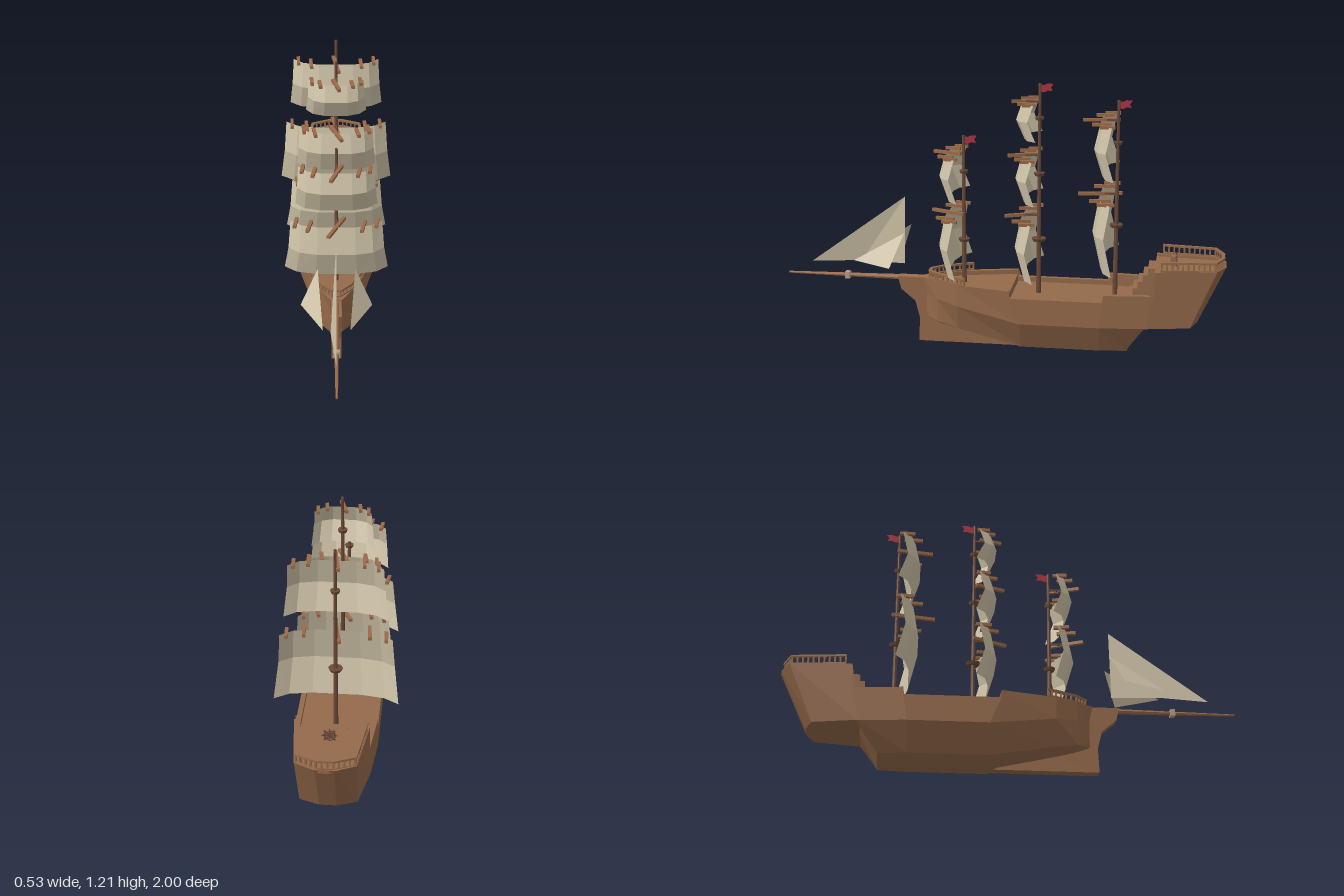
import * as THREE from 'three';

const mat = (name, color, double = false) => {
  const m = new THREE.MeshStandardMaterial({ color, flatShading: true });
  m.name = name;
  if (double) m.side = THREE.DoubleSide;
  return m;
};

export function createModel() {
  const ship = new THREE.Group();
  ship.name = 'sailingShip';
  const wood = mat('hullWood', 0x94694a, true);
  const darkWood = mat('mastWood', 0x6b4a38);
  const yardWood = mat('yardWood', 0x9b6a48);
  const canvas = mat('canvas', 0xcfc3a8, true);
  const red = mat('flagRed', 0xa8323e, true);
  const pale = mat('paleBand', 0xb59c88);

  const add = (name, geo, material, parent = ship) => {
    const m = new THREE.Mesh(geo, material);
    m.name = name;
    parent.add(m);
    return m;
  };
  const group = (name) => {
    const g = new THREE.Group();
    g.name = name;
    ship.add(g);
    return g;
  };
  // rectangular beam between two points
  const bar = (name, a, b, w, h, material, parent) => {
    const A = new THREE.Vector3(...a), B = new THREE.Vector3(...b);
    const m = add(name, new THREE.BoxGeometry(w, h, A.distanceTo(B) + w * 0.5), material, parent);
    m.position.copy(A).add(B).multiplyScalar(0.5);
    m.lookAt(B);
    return m;
  };
  // quad surface through rows of points
  const loft = (rows, closed) => {
    const n = rows[0].length, idx = [];
    for (let i = 0; i < rows.length - 1; i++) {
      for (let j = 0; j < (closed ? n : n - 1); j++) {
        const k = (j + 1) % n;
        const a = i * n + j, b = i * n + k, c = (i + 1) * n + k, d = (i + 1) * n + j;
        idx.push(a, d, b, b, d, c);
      }
    }
    const g = new THREE.BufferGeometry();
    g.setAttribute('position', new THREE.Float32BufferAttribute(rows.flat(2), 3));
    g.setIndex(idx);
    const flat = g.toNonIndexed();
    flat.computeVertexNormals();
    return flat;
  };

  // Hull: rim z, width, rim y, deck y | bilge z, width, y | chine z, width, y | keel width, y
  const stations = [
    [0.36, 0.025, 0.305, 0.285, 0.345, 0.025, 0.23, 0.345, 0.025, 0.12, 0.02, 0.11],
    [0.29, 0.068, 0.305, 0.285, 0.29, 0.068, 0.22, 0.29, 0.062, 0.11, 0.02, 0.09],
    [0.19, 0.12, 0.305, 0.285, 0.19, 0.12, 0.205, 0.19, 0.085, 0.09, 0.025, 0.065],
    [-0.05, 0.178, 0.305, 0.285, -0.1, 0.178, 0.155, -0.1, 0.12, 0.03, 0.025, 0],
    [-0.05, 0.178, 0.272, 0.25, -0.1, 0.178, 0.155, -0.1, 0.12, 0.03, 0.025, 0],
    [-0.47, 0.178, 0.272, 0.25, -0.45, 0.178, 0.155, -0.45, 0.12, 0.03, 0.025, 0],
    [-0.47, 0.178, 0.305, 0.25, -0.45, 0.178, 0.155, -0.45, 0.12, 0.03, 0.025, 0],
    [-0.69, 0.157, 0.305, 0.25, -0.65, 0.16, 0.155, -0.57, 0.1, 0.03, 0.025, 0],
    [-0.69, 0.157, 0.415, 0.405, -0.65, 0.16, 0.155, -0.57, 0.1, 0.03, 0.025, 0],
    [-0.7, 0.156, 0.415, 0.405, -0.66, 0.159, 0.155, -0.65, 0.08, 0.155, 0.02, 0.155],
    [-0.96, 0.125, 0.42, 0.405, -0.85, 0.12, 0.155, -0.85, 0.08, 0.155, 0.02, 0.155],
    [-1, 0.04, 0.42, 0.405, -0.88, 0.035, 0.155, -0.88, 0.03, 0.155, 0.02, 0.155],
  ];
  const ring = ([zt, wt, yr, yd, zm, wm, ym, zl, wl, yl, wb, yb]) => {
    const wi = Math.max(wt - 0.022, wt * 0.3);
    const half = [[wb, yb, zl], [wl, yl, zl], [wm, ym, zm], [wt, yr, zt], [wi, yr, zt], [wi, yd, zt]];
    return [...half, ...half.map(([x, y, z]) => [-x, y, z]).reverse()];
  };
  const rings = stations.map(ring);
  const closeEnd = (r) => r.map(([, y, z]) => [0, y, z]);
  rings.unshift(closeEnd(rings[0]));
  rings.push(closeEnd(rings[rings.length - 1]));
  add('hull', loft(rings, true), wood);

  // Stem and forward keel
  const stemShape = new THREE.Shape([[0.48, 0.303], [0.465, 0.245], [0.4, 0.19], [0.38, 0.11], [0.385, 0],
    [-0.08, 0], [0.1, 0.08], [0.3, 0.2], [0.3, 0.303]].map((p) => new THREE.Vector2(...p)));
  const stemGeo = new THREE.ExtrudeGeometry(stemShape, { depth: 0.046, bevelEnabled: false });
  stemGeo.translate(0, 0, -0.023).rotateY(-Math.PI / 2);
  add('stem', stemGeo, wood);

  // Bowsprit
  const sprit = add('bowsprit', new THREE.CylinderGeometry(0.005, 0.015, 0.66, 8), yardWood);
  sprit.rotation.x = Math.PI / 2;
  sprit.position.set(0, 0.295, 0.67);
  add('bowspritBand', new THREE.BoxGeometry(0.03, 0.03, 0.022), pale).position.set(0, 0.295, 0.72);

  // Stairs to the stern deck
  const stairs = group('stairs');
  for (let i = 0; i < 5; i++) {
    const top = 0.28 + i * 0.031;
    const depth = 0.12 - i * 0.022;
    add('step', new THREE.BoxGeometry(0.135, top - 0.25, depth), wood, stairs)
      .position.set(0, (top + 0.25) / 2, -0.69 + depth / 2);
  }

  // Railings along the deck edge
  const railing = (name, half, y, h) => {
    const g = group(name);
    const pts = [...half, ...half.map(([x, z]) => [-x, z]).reverse()];
    for (let i = 0; i < pts.length - 1; i++) {
      const [x0, z0] = pts[i], [x1, z1] = pts[i + 1];
      bar('handrail', [x0, y + h, z0], [x1, y + h, z1], 0.014, 0.009, wood, g);
      bar('footRail', [x0, y + 0.004, z0], [x1, y + 0.004, z1], 0.012, 0.008, wood, g);
      const n = Math.max(1, Math.round(Math.hypot(x1 - x0, z1 - z0) / 0.024));
      for (let k = 0; k <= n; k++) {
        const t = k / n;
        add('post', new THREE.BoxGeometry(0.008, h, 0.008), wood, g)
          .position.set(x0 + (x1 - x0) * t, y + h / 2, z0 + (z1 - z0) * t);
      }
    }
  };
  railing('bowRailing', [[0.125, 0.155], [0.112, 0.19], [0.062, 0.285], [0.018, 0.33]], 0.303, 0.033);
  railing('sternRailing', [[0.145, -0.72], [0.118, -0.95], [0.035, -0.985]], 0.415, 0.04);

  // Steering wheel
  const wheel = group('steeringWheel');
  wheel.position.set(0, 0.432, -0.78);
  add('rim', new THREE.TorusGeometry(0.022, 0.004, 6, 12), darkWood, wheel);
  for (let i = 0; i < 4; i++) {
    add('spoke', new THREE.BoxGeometry(0.064, 0.005, 0.005), darkWood, wheel).rotation.z = i * Math.PI / 4;
  }
  add('stand', new THREE.BoxGeometry(0.03, 0.05, 0.02), wood, wheel).position.set(0, -0.008, 0.016);

  // Masts: z, top, platforms [y, radius], sails [top y, mid y, bottom y, top half, bottom half]
  const low = [0.612, 0.485, 0.357, 0.2, 0.23];
  const mid = [0.885, 0.795, 0.692, 0.163, 0.178];
  const rigs = [
    ['fore', 0.175, 0.965, [[0.485, 0.027], [0.8, 0.02]], [low, mid]],
    ['main', -0.165, 1.205, [[0.5, 0.033], [0.8, 0.025], [1.05, 0.021]], [low, mid, [1.125, 1.052, 0.968, 0.12, 0.134]]],
    ['mizzen', -0.51, 1.14, [[0.578, 0.031], [0.95, 0.021]],
      [[0.722, 0.575, 0.414, 0.235, 0.265], [1.052, 0.938, 0.82, 0.195, 0.214]]],
  ];
  const columns = [[-1, -0.058], [-0.77, -0.018], [-0.4, 0], [0.4, 0], [0.77, -0.018], [1, -0.058]];
  const flagShape = new THREE.Shape([[0, 0], [0.018, -0.004], [0.034, 0.004], [0.06, 0.002], [0.048, -0.014],
    [0.056, -0.03], [0.034, -0.028], [0.018, -0.036], [0, -0.032]].map((p) => new THREE.Vector2(...p)));

  for (const [name, z, top, platforms, sails] of rigs) {
    const g = group(name + 'Mast');
    g.position.z = z;
    add('mast', new THREE.CylinderGeometry(0.006, 0.011, top - 0.24, 8), darkWood, g).position.y = (top + 0.24) / 2;
    for (const [y, r] of platforms) {
      add('lookout', new THREE.CylinderGeometry(r, r * 0.8, 0.014, 8), darkWood, g).position.y = y;
    }
    const flag = add('flag', new THREE.ShapeGeometry(flagShape), red, g);
    flag.rotation.y = Math.PI / 2;
    flag.position.y = top - 0.003;
    // Billowing sails under swept-back yards
    for (const [yt, ym, yb, wt, wb] of sails) {
      const row = (y, w, dz) => columns.map(([t, sweep]) => [t * w, y, dz + sweep]);
      const head = row(yt, wt, 0.073);
      const rows = [head, row(ym, wt + (wb - wt) * 0.35, 0.098), row(yb, wb, 0.06)];
      add('sail', loft(rows, false), canvas, g);
      for (let i = 0; i < head.length - 1; i++) bar('yard', head[i], head[i + 1], 0.015, 0.014, yardWood, g);
      bar('yardBrace', [0, yt, 0], [0, yt, 0.073], 0.008, 0.008, darkWood, g);
    }
  }

  // Triangular head sails
  add('jib', loft([
    [[0, 0.675, 0.445], [0, 0.675, 0.445], [0, 0.675, 0.445]],
    [[0, 0.36, 0.45], [-0.025, 0.358, 0.66], [0, 0.355, 0.885]],
  ], false), canvas);
  for (const s of [1, -1]) {
    add(s > 0 ? 'leftStaysail' : 'rightStaysail', loft([
      [[s * 0.08, 0.525, 0.435], [s * 0.08, 0.525, 0.435]],
      [[s * 0.153, 0.378, 0.49], [s * 0.057, 0.382, 0.675]],
    ], false), canvas);
  }
  return ship;
}
